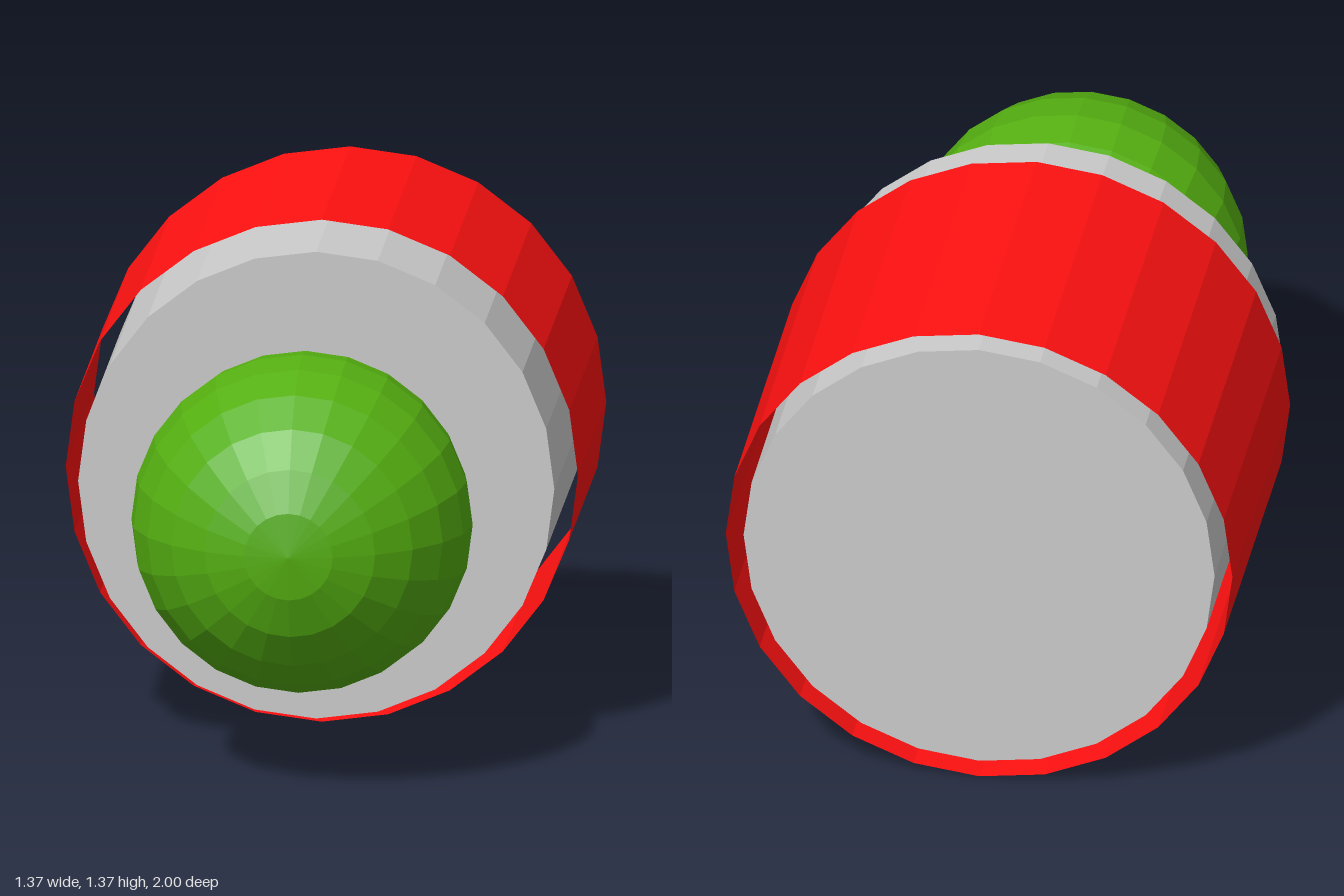
import * as THREE from 'three';

const SIDES = 24;
const AXIS_Y = 0.683;

export function createModel() {
  const model = new THREE.Group();

  // Every part is a faceted solid turned so that its axis runs along z
  const add = (name, geometry, z, color, side = THREE.FrontSide) => {
    const material = new THREE.MeshStandardMaterial({ color, flatShading: true, side });
    const mesh = new THREE.Mesh(geometry.rotateX(Math.PI / 2), material);
    mesh.name = name;
    mesh.position.set(0, AXIS_Y, z);
    model.add(mesh);
  };

  // Solid core running from the back end to the front disc
  add('core', new THREE.CylinderGeometry(0.635, 0.635, 1.09, SIDES), -0.455, 0xcccccc);

  // Thin open sleeve around the core, leaving a narrow gap
  add('sleeve', new THREE.CylinderGeometry(0.683, 0.683, 0.91, SIDES, 1, true), -0.545, 0xff1111, THREE.DoubleSide);

  // Ball touching the front disc, poles on the z axis
  add('ball', new THREE.SphereGeometry(0.455, SIDES, 12), 0.545, 0x55b011);

  return model;
}
